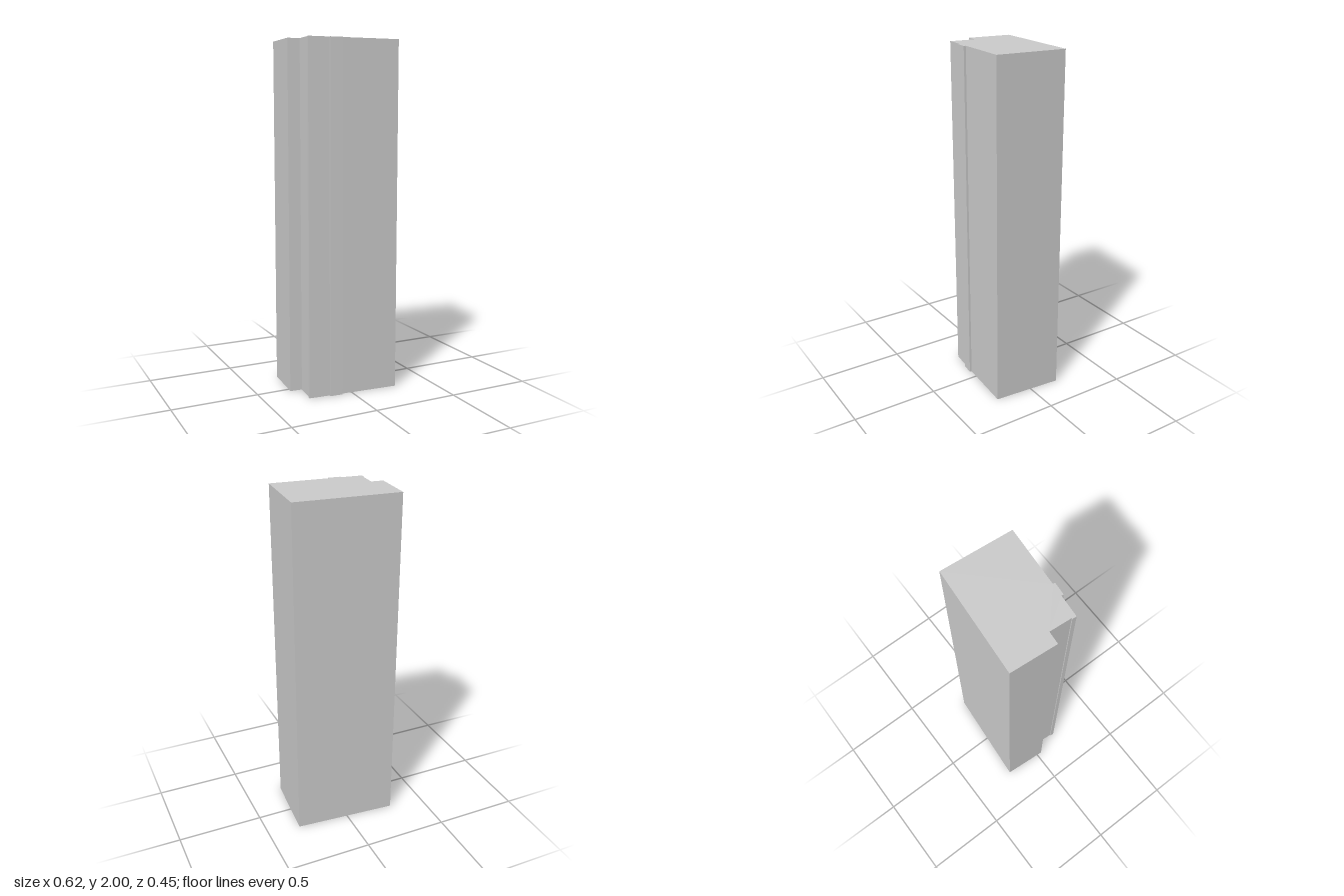
import * as THREE from 'three';

// Tower footprint as [x, z] corners: a slightly turned block with a notched
// front right corner and a shallow pilaster on the front.
const footprint = [
  [-0.29, -0.227], [0.308, -0.18], [0.277, 0.224],
  [-0.062, 0.198], [-0.063, 0.21], [-0.135, 0.204], [-0.134, 0.192],
  [-0.256, 0.182], [-0.254, 0.159], [-0.249, 0.159],
  [-0.24, 0.037], [-0.31, 0.031],
];
const height = 2;

export function createModel() {
  const group = new THREE.Group();
  group.name = 'tower';

  // Extrude the plan, then stand it upright on y = 0
  const plan = new THREE.Shape(footprint.map(([x, z]) => new THREE.Vector2(x, -z)));
  const geometry = new THREE.ExtrudeGeometry(plan, { depth: height, bevelEnabled: false });
  geometry.rotateX(-Math.PI / 2);

  const material = new THREE.MeshStandardMaterial({ color: 0xcccccc, flatShading: true });
  const body = new THREE.Mesh(geometry, material);
  body.name = 'towerBody';
  group.add(body);
  return group;
}
